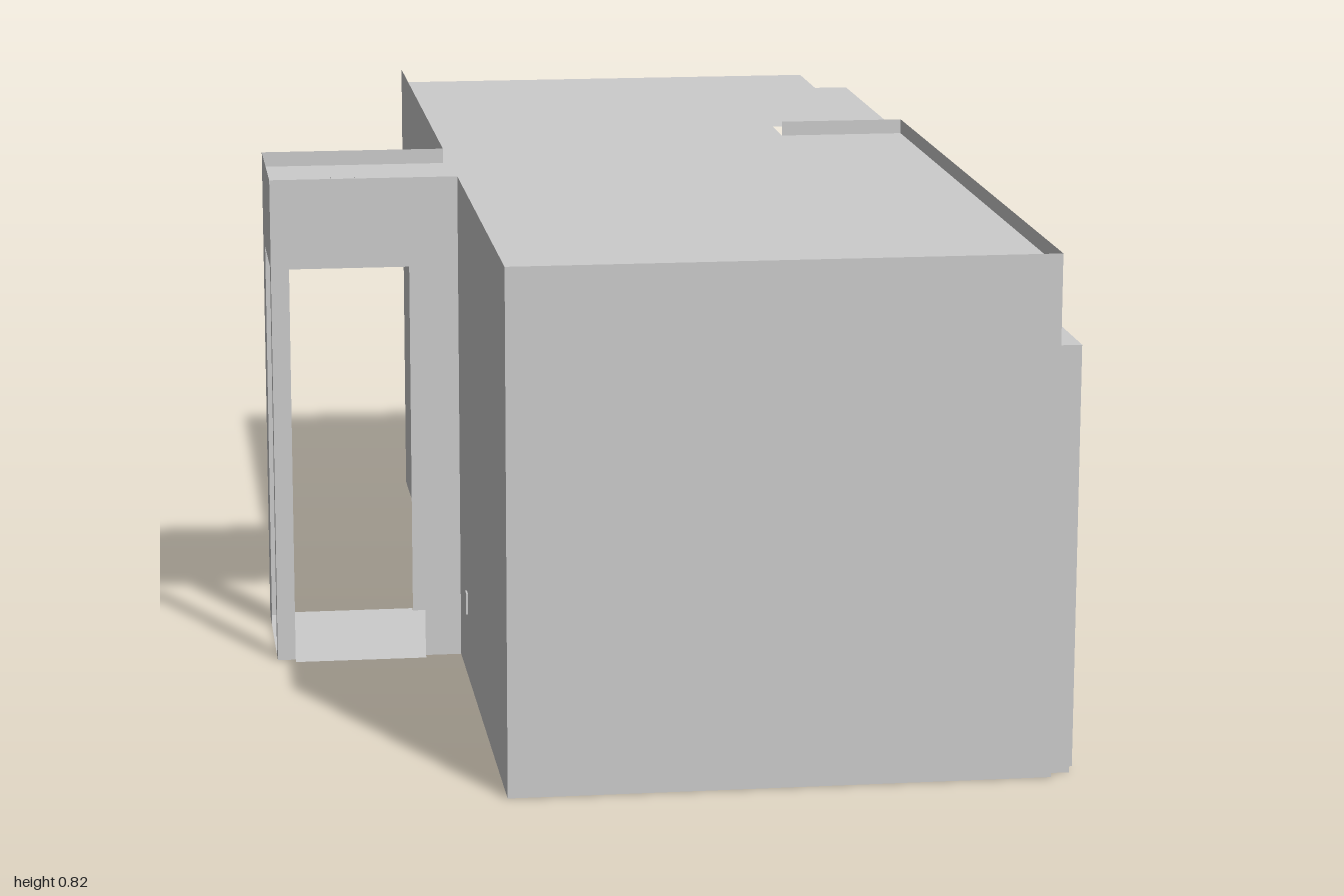
import * as THREE from 'three';

const H = 0.82, CEIL = 0.795;
const L = -0.29, R = 0.55, FRONT = 1, BACK = -1, MID = -0.28;
const NX = -0.6, NZ0 = -0.065, NZ1 = 0.215;

const mat = new THREE.MeshStandardMaterial({ color: 0xcccccc, side: THREE.DoubleSide });

const rect = (a0, b0, a1, b1) => [[a0, b0], [a1, b0], [a1, b1], [a0, b1]];

function toShape(points, holes = []) {
  const toVecs = (p) => p.map(([a, b]) => new THREE.Vector2(a, b));
  const shape = new THREE.Shape(toVecs(points));
  holes.forEach((h) => shape.holes.push(new THREE.Path(toVecs(h))));
  return shape;
}

export function createModel() {
  const model = new THREE.Group();

  function add(name, geometry, x = 0, y = 0, z = 0, parent = model) {
    const mesh = new THREE.Mesh(geometry, mat);
    mesh.name = name;
    mesh.position.set(x, y, z);
    parent.add(mesh);
    return mesh;
  }
  const box = (name, x0, x1, y0, y1, z0, z1, parent) =>
    add(name, new THREE.BoxGeometry(x1 - x0, y1 - y0, z1 - z0),
      (x0 + x1) / 2, (y0 + y1) / 2, (z0 + z1) / 2, parent);

  // Thin panels: facing z (outline x,y), facing x (outline z,y), level (outline x,z)
  const panelZ = (name, z, pts, holes) =>
    add(name, new THREE.ShapeGeometry(toShape(pts, holes)), 0, 0, z);
  const panelX = (name, x, pts, holes) =>
    add(name, new THREE.ShapeGeometry(toShape(pts, holes)).rotateY(-Math.PI / 2), x);
  const level = (name, y, pts) =>
    add(name, new THREE.ShapeGeometry(toShape(pts)).rotateX(Math.PI / 2), 0, y);

  // Solid frame on the right wall, from x0 to x1, outline z,y
  const frame = (name, x0, x1, pts, holes, parent) =>
    add(name, new THREE.ExtrudeGeometry(toShape(pts, holes), { depth: x1 - x0, bevelEnabled: false })
      .rotateY(-Math.PI / 2), x1, 0, 0, parent);

  // Floor with the porch and its thresholds
  level('floor', 0, [
    [L, MID], [R, MID], [R, FRONT], [L, FRONT], [L, NZ1],
    [-0.35, NZ1], [-0.35, NZ1 + 0.015], [-0.57, NZ1 + 0.015], [-0.57, NZ1], [NX, NZ1],
    [NX, NZ0], [-0.57, NZ0], [-0.57, NZ0 - 0.015], [-0.35, NZ0 - 0.015], [-0.35, NZ0], [L, NZ0],
  ]);

  // Ceiling, set below the wall tops and running past the back wall
  level('ceiling', CEIL, [
    [L, BACK], [0.49, BACK], [0.49, -0.83], [R, -0.83], [R, -0.315], [0.445, -0.315],
    [0.445, -0.38], [0.335, -0.38], [0.335, MID], [R, MID], [R, FRONT], [L, FRONT],
    [L, NZ1], [NX, NZ1], [NX, NZ0], [L, NZ0],
  ]);

  // Main walls
  panelZ('frontWall', FRONT, rect(L, 0, R, H));
  panelX('leftWallFront', L, rect(NZ1, 0, FRONT, H));
  panelX('leftWallBack', L, rect(BACK, 0, NZ0, H));
  panelX('rightWall', R, rect(MID, 0, FRONT, H), [
    rect(-0.255, 0.065, 0.005, 0.72),
    rect(0.72, 0.01, 0.97, 0.66),
  ]);
  panelZ('backWall', MID, [
    [-0.04, 0], [R, 0], [R, H], [0.335, H], [0.335, 0.37], [-0.04, 0.37],
  ]);

  // Porch walls, each with a doorway down to the floor
  for (const [name, z] of [['porchFrontWall', NZ1], ['porchBackWall', NZ0]]) {
    panelZ(name, z, [
      [NX, 0], [-0.57, 0], [-0.57, 0.67], [-0.35, 0.67], [-0.35, 0], [L, 0], [L, H], [NX, H],
    ]);
  }
  panelX('porchEndWall', NX, [
    [NZ0, 0], [0.005, 0], [0.005, 0.67], [0.185, 0.67], [0.185, 0], [NZ1, 0], [NZ1, H], [NZ0, H],
  ]);

  // Entrance door
  const door = new THREE.Group();
  door.name = 'door';
  model.add(door);
  frame('doorFrame', R, 0.587, rect(0.705, 0.01, 0.98, 0.675), [rect(0.72, 0.014, 0.965, 0.66)], door);
  box('doorThreshold', R, 0.583, 0, 0.01, 0.705, 0.98, door);
  box('doorLeaf', 0.553, 0.567, 0.012, 0.66, 0.72, 0.967, door);
  box('handleStem', 0.567, 0.58, 0.341, 0.349, 0.743, 0.751, door);
  box('handleLever', 0.577, 0.583, 0.342, 0.348, 0.743, 0.78, door);
  add('peephole', new THREE.CylinderGeometry(0.004, 0.004, 0.004, 12).rotateZ(Math.PI / 2),
    0.568, 0.49, 0.85, door);

  // Window with two upper sashes, a lower light and a sill
  const win = new THREE.Group();
  win.name = 'window';
  model.add(win);
  frame('windowFrame', R, 0.586, rect(-0.265, 0.055, 0.015, 0.73), [
    rect(-0.253, 0.25, 0.003, 0.72),
    rect(-0.253, 0.067, 0.003, 0.238),
  ], win);
  frame('leftSash', 0.556, 0.578, rect(-0.12, 0.25, 0.003, 0.72), [rect(-0.108, 0.264, -0.009, 0.708)], win);
  frame('rightSash', 0.556, 0.578, rect(-0.253, 0.25, -0.12, 0.72), [rect(-0.24, 0.264, -0.133, 0.708)], win);
  frame('lowerSash', 0.556, 0.578, rect(-0.253, 0.067, 0.003, 0.238), [rect(-0.242, 0.077, -0.008, 0.227)], win);
  box('windowSill', R, 0.6, 0.052, 0.057, -0.265, 0.015, win);

  // Wall plates
  for (const [y, z] of [[0.69, 0.65], [0.365, 0.65], [0.605, 0.08]]) {
    box('switchPlate', R - 0.002, R + 0.002, y - 0.02, y + 0.02, z - 0.01, z + 0.01);
  }
  box('leftSocket', L - 0.003, L + 0.001, 0.107, 0.143, 0.33, 0.35);
  box('backSocket', 0.415, 0.435, 0.107, 0.143, MID - 0.004, MID + 0.001);

  // Porch ceiling lamp
  for (const x of [-0.475, -0.435]) {
    box('porchLamp', x - 0.016, x + 0.016, CEIL - 0.004, CEIL + 0.002, 0.059, 0.091);
  }

  return model;
}
